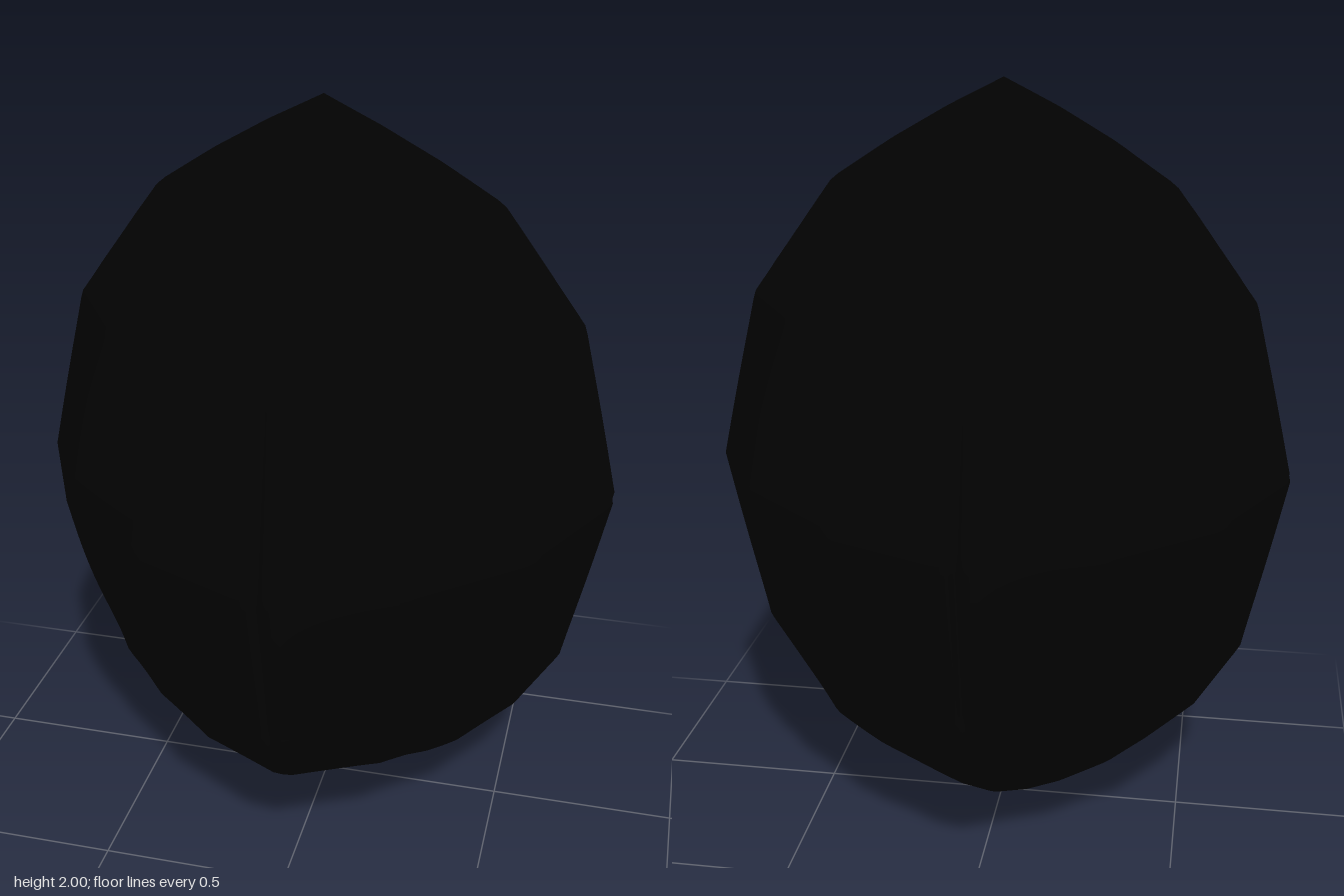
import * as THREE from 'three';

// Half-widths by height: [y, half-width]
const SIDE = [[0, 0.015], [0.08, 0.21], [0.2, 0.4], [0.33, 0.54], [0.52, 0.66], [1, 0.757],
  [1.45, 0.655], [1.75, 0.435], [1.85, 0.28], [1.93, 0.14], [2, 0]];
const FRONT = [[0, 0.015], [0.13, 0.14], [0.2, 0.24], [0.35, 0.49], [0.51, 0.605], [1, 0.705],
  [1.49, 0.605], [1.61, 0.5], [1.66, 0.41], [1.71, 0.32], [1.84, 0.16], [2, 0]];
const BACK = [[0, 0.015], [0.08, 0.15], [0.2, 0.29], [0.35, 0.49], [0.51, 0.605], [1, 0.705],
  [1.49, 0.605], [1.61, 0.5], [1.7, 0.34], [1.81, 0.2], [1.9, 0.09], [2, 0]];
// One quarter of the faceted cross-section, with narrow flats for the seams
const QUARTER = [[1, 0], [1, 0.045], [0.795, 0.486], [0.44, 0.82], [0.045, 1], [0, 1]];

const { smoothstep } = THREE.MathUtils;
const bell = (d, width) => Math.exp(-((d / width) ** 2));

function sample(profile, y) {
  let i = 1;
  while (i < profile.length - 1 && profile[i][0] < y) i++;
  const [y0, a] = profile[i - 1], [y1, b] = profile[i];
  return a + (b - a) * (y - y0) / (y1 - y0);
}

// Point on the unit section; t runs 0..4 around the shell, mirrored per quarter
function section(t) {
  const q = Math.floor(t), local = q % 2 ? 1 - (t - q) : t - q;
  const u = local * (QUARTER.length - 1);
  const k = Math.min(QUARTER.length - 2, Math.floor(u)), f = u - k;
  const a = QUARTER[k], b = QUARTER[k + 1];
  const x = a[0] + (b[0] - a[0]) * f, z = a[1] + (b[1] - a[1]) * f;
  return [q === 0 || q === 3 ? x : -x, q < 2 ? z : -z];
}

function shellPoint(t, y) {
  const [sx, sz] = section(t);
  // The diagonals are leaner at the two shoulders
  const diagonal = Math.min(1, 2.2 * Math.abs(sx * sz));
  const lean = 1 - 0.08 * diagonal * bell(Math.abs(y - 1) - 0.5, 0.22);
  let x = sx * lean * sample(SIDE, y);
  let z = sz * lean * sample(sz >= 0 ? FRONT : BACK, y);

  // Vertical seam grooves on the four ridges
  const across = Math.min(Math.abs(x), Math.abs(z));
  const fade = smoothstep(y, 0.45, 0.55) * (1 - smoothstep(y, 1.42, 1.52));
  const groove = 1 - 0.025 * fade * bell(across, 0.014);
  x *= groove;
  z *= groove;

  // Two grooved arcs curling down from the tip to the front
  let drop = 0;
  if (y > 1.4 && z > -0.1) {
    const ax = Math.abs(x), arc = 0.3 * Math.exp(-ax / 0.15);
    const d = (z - arc) / Math.hypot(1, arc / 0.15);
    drop = 0.015 * bell(d, 0.016) * (1 - smoothstep(ax, 0.35, 0.5)) * (1 - smoothstep(y, 1.85, 1.95));
  }
  // The tip leans slightly forward
  z += 0.03 * smoothstep(y, 1.7, 2);
  return [x, y - drop, z];
}

function shellGeometry(around = 320, rows = 120) {
  const position = [], index = [];
  for (let j = 0; j <= rows; j++) {
    const y = 1 - Math.cos(Math.PI * j / rows);
    for (let i = 0; i < around; i++) position.push(...shellPoint(4 * i / around, y));
  }
  for (let j = 0; j < rows; j++) {
    for (let i = 0; i < around; i++) {
      const a = j * around + i, b = j * around + (i + 1) % around;
      const c = a + around, d = b + around;
      index.push(a, c, b, b, c, d);
    }
  }
  // Close the small flat base
  const base = position.length / 3;
  position.push(0, 0, 0);
  for (let i = 0; i < around; i++) index.push(base, i, (i + 1) % around);

  const geometry = new THREE.BufferGeometry();
  geometry.setAttribute('position', new THREE.Float32BufferAttribute(position, 3));
  geometry.setIndex(index);
  geometry.computeVertexNormals();
  return geometry;
}

export function createModel() {
  const group = new THREE.Group();
  group.name = 'seed';
  const shell = new THREE.Mesh(shellGeometry(), new THREE.MeshStandardMaterial({ color: 0x020202 }));
  shell.name = 'shell';
  group.add(shell);
  return group;
}
